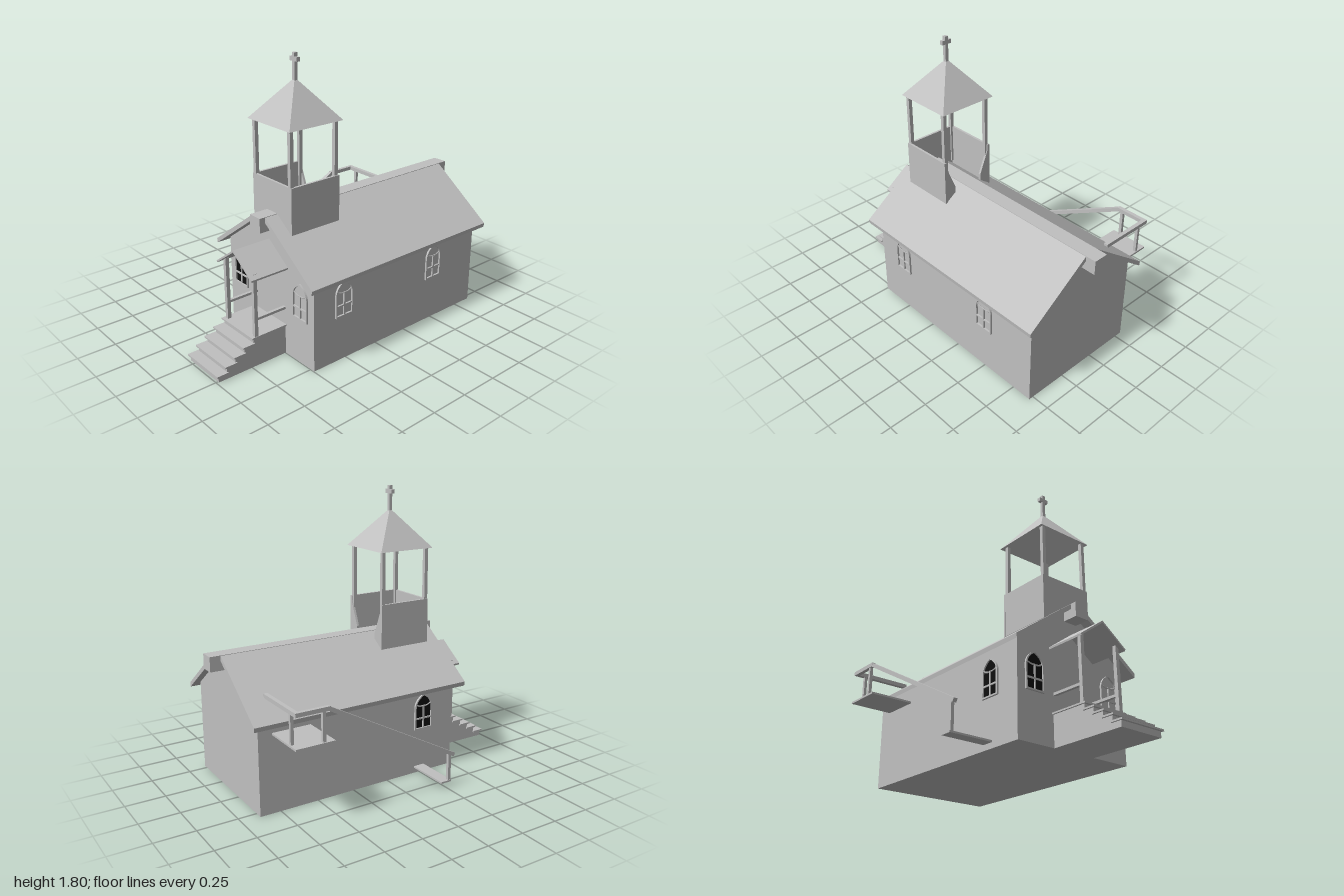
import * as THREE from 'three';

const stone = new THREE.MeshStandardMaterial({ color: 0xc0c0c0 });
stone.name = 'pale grey';
stone.side = THREE.DoubleSide;
const glass = new THREE.MeshStandardMaterial({ color: 0x101010 });
glass.name = 'dark glass';

const MID = 0.115; // z of the ridge
const mirrorZ = (z) => 2 * MID - z;

export function createModel() {
  const model = new THREE.Group();
  model.name = 'chapel';

  const add = (name, geo, mat = stone, parent = model) => {
    const mesh = new THREE.Mesh(geo, mat);
    mesh.name = name;
    parent.add(mesh);
    return mesh;
  };
  // Box given by its limits on each axis
  const box = (name, x0, x1, y0, y1, z0, z1) => {
    const geo = new THREE.BoxGeometry(x1 - x0, y1 - y0, z1 - z0);
    geo.translate((x0 + x1) / 2, (y0 + y1) / 2, (z0 + z1) / 2);
    return add(name, geo);
  };
  // [z, y] profile extruded along x
  const prismX = (name, pts, x0, x1) => {
    const shape = new THREE.Shape(pts.map(([z, y]) => new THREE.Vector2(z, y)));
    const geo = new THREE.ExtrudeGeometry(shape, { depth: x1 - x0, bevelEnabled: false });
    geo.rotateY(-Math.PI / 2);
    geo.translate(x1, 0, 0);
    return add(name, geo);
  };
  const bothSides = (name, pts, x0, x1) => {
    prismX(name + 'Front', pts, x0, x1);
    prismX(name + 'Back', pts.map(([z, y]) => [mirrorZ(z), y]), x0, x1);
  };

  // Hall with gabled ends
  prismX('hall', [[0.53, 0], [0.53, 0.583], [0.165, 0.85], [0.065, 0.85], [-0.3, 0.583], [-0.3, 0]], -0.497, 0.883);

  // Main roof and ridge beam
  bothSides('roof', [[0.165, 0.88], [0.588, 0.572], [0.584, 0.544], [0.163, 0.848]], -0.56, 0.93);
  box('ridgeBeam', -0.597, 0.997, 0.79, 0.882, 0.067, 0.163);

  // Bell tower walls; the inner wall is cut open in a V
  const tx0 = -0.47, tx1 = -0.107, tz0 = -0.067, tz1 = 0.3, t = 0.015;
  box('towerWallFront', tx0, tx1, 0.785, 1.075, tz1 - t, tz1);
  box('towerWallBack', tx0, tx1, 0.785, 1.075, tz0, tz0 + t);
  box('towerWallOuter', tx0, tx0 + t, 0.785, 1.075, tz0, tz1);
  bothSides('towerWallInner', [[tz1, 1.075], [tz1, 0.785], [0.22, 0.84], [0.22, 0.88]], tx1 - t, tx1);

  // Belfry posts
  for (const x of [-0.457, -0.126]) {
    for (const z of [0.28, mirrorZ(0.28)]) {
      box('belfryPost', x - 0.012, x + 0.012, 0.82, 1.415, z - 0.012, z + 0.012);
    }
  }

  // Hollow pyramid spire
  const spire = new THREE.ConeGeometry(0.198 * Math.SQRT2, 0.245, 4, 1, true, Math.PI / 4).toNonIndexed();
  spire.computeVertexNormals();
  spire.translate(-0.288, 1.41 + 0.1225, 0.113);
  add('spire', spire);

  // Cross
  box('crossUpright', -0.299, -0.277, 1.64, 1.8, 0.103, 0.125);
  box('crossArm', -0.299, -0.277, 1.75, 1.776, 0.081, 0.147);

  // Entrance steps
  const treads = [[-1, 0.045], [-0.942, 0.085], [-0.88, 0.123], [-0.815, 0.162], [-0.75, 0.2]];
  treads.forEach(([x, y], i) => {
    const end = i < 4 ? treads[i + 1][0] + 0.02 : -0.49;
    box('stepRiser', x + 0.014, -0.49, 0, y - 0.009, -0.04, 0.26);
    box('stepTread', x, end, y - 0.01, y, -0.05, 0.27);
  });

  // Porch posts, rails and roof
  for (const z of [-0.025, 0.255]) {
    box('porchPost', -0.727, -0.703, 0.19, 0.608, z - 0.012, z + 0.012);
    box('porchRail', -0.727, -0.49, 0.304, 0.32, z - 0.01, z + 0.01);
  }
  bothSides('porchRoof', [[MID, 0.715], [0.292, 0.587], [0.29, 0.575], [MID, 0.701]], -0.757, -0.497);

  // Pointed window outline, base at y = 0
  const arch = (Outline, inset) => {
    const w = 0.0675 - inset, s = new Outline();
    s.moveTo(-w, inset);
    s.lineTo(w, inset);
    s.lineTo(w, 0.145);
    s.quadraticCurveTo(w, 0.2 - inset * 0.5, 0, 0.235 - inset);
    s.quadraticCurveTo(-w, 0.2 - inset * 0.5, -w, 0.145);
    s.lineTo(-w, inset);
    return s;
  };
  const windowAt = (x, z, turn, dark) => {
    const g = new THREE.Group();
    g.name = 'window';
    const outline = arch(THREE.Shape, 0);
    outline.holes.push(arch(THREE.Path, 0.01));
    add('windowFrame', new THREE.ExtrudeGeometry(outline, { depth: 0.012, bevelEnabled: false }), stone, g);
    const bar = (name, w, h, y) => {
      const geo = new THREE.BoxGeometry(w, h, 0.01);
      geo.translate(0, y, 0.005);
      add(name, geo, stone, g);
    };
    bar('mullion', 0.01, 0.15, 0.08);
    bar('lowerBar', 0.12, 0.01, 0.073);
    // Small tracery arches above the upper panes
    for (const s of [-1, 1]) {
      const curve = new THREE.QuadraticBezierCurve3(
        new THREE.Vector3(0, 0.155, 0.005),
        new THREE.Vector3(s * 0.03, 0.15, 0.005),
        new THREE.Vector3(s * 0.055, 0.168, 0.005));
      add('tracery', new THREE.TubeGeometry(curve, 6, 0.005, 4), stone, g);
    }
    if (dark) {
      const pane = new THREE.ShapeGeometry(arch(THREE.Shape, 0.008));
      pane.translate(0, 0, 0.003);
      add('windowPane', pane, glass, g);
    }
    g.position.set(x, 0.295, z);
    g.rotation.y = turn;
    model.add(g);
  };
  windowAt(-0.27, 0.53, 0, false);
  windowAt(0.497, 0.53, 0, false);
  windowAt(-0.27, -0.3, Math.PI, true);
  windowAt(-0.497, -0.178, -Math.PI / 2, true);
  windowAt(-0.497, mirrorZ(-0.178), -Math.PI / 2, false);

  // Rear landings
  box('upperLanding', 0.545, 0.795, 0.485, 0.497, -0.585, -0.29);
  box('lowerLanding', -0.283, -0.208, 0.035, 0.046, -0.583, -0.29);

  // Rear handrail with its posts
  box('landingRail', 0.575, 0.793, 0.677, 0.702, -0.583, -0.558);
  box('landingSideRail', 0.767, 0.793, 0.677, 0.702, -0.583, -0.2);
  box('landingSidePost', 0.77, 0.79, 0.49, 0.69, -0.518, -0.5);
  box('landingPost', 0.602, 0.622, 0.49, 0.69, -0.578, -0.558);
  box('lowerPost', -0.283, -0.263, 0.04, 0.225, -0.578, -0.558);
  const from = new THREE.Vector3(-0.305, 0.208, -0.57);
  const to = new THREE.Vector3(0.585, 0.69, -0.57);
  const slope = add('stairRail', new THREE.BoxGeometry(from.distanceTo(to), 0.024, 0.025));
  slope.position.copy(from).add(to).multiplyScalar(0.5);
  slope.rotation.z = Math.atan2(to.y - from.y, to.x - from.x);

  return model;
}
